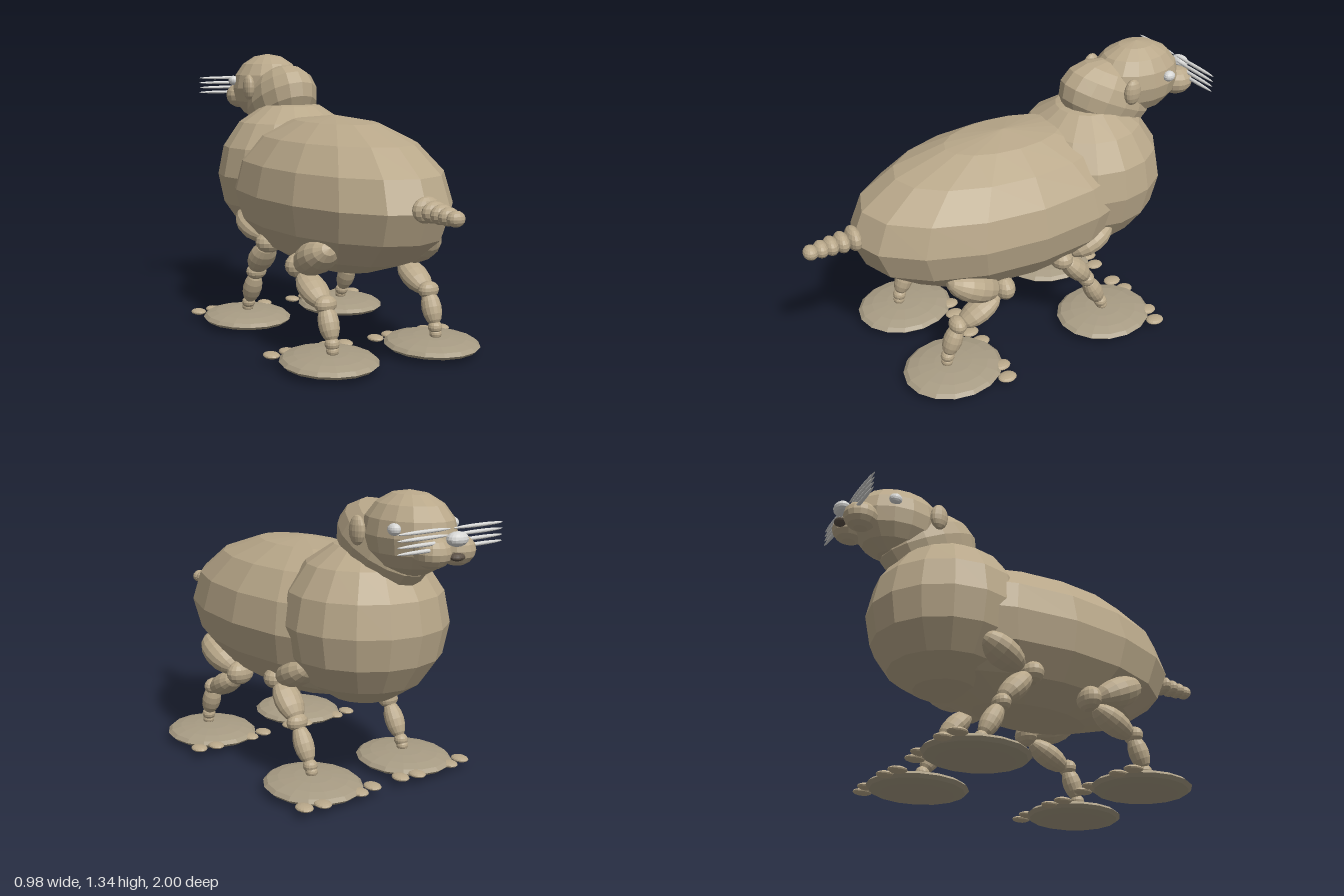
import * as THREE from 'three';

const mat = (name, color) => {
  const m = new THREE.MeshStandardMaterial({ color, flatShading: true });
  m.name = name;
  return m;
};

export function createModel() {
  const fur = mat('tan fur', 0xb9a88a);
  const pad = mat('foot fur', 0xa89c84);
  const pale = mat('pale grey', 0xd6d6d4);
  const dark = mat('dark mouth', 0x5c5146);

  const model = new THREE.Group();
  model.name = 'whiskeredAnimal';
  const ball = new THREE.SphereGeometry(1, 16, 8);

  // Faceted ellipsoid from centre and radii, optionally tilted about x
  function blob(parent, name, material, [x, y, z], [rx, ry, rz], tilt = 0) {
    const m = new THREE.Mesh(ball, material);
    m.name = name;
    m.position.set(x, y, z);
    m.scale.set(rx, ry, rz);
    m.rotation.x = tilt;
    parent.add(m);
    return m;
  }

  // Ellipsoid with its poles at two points [z, y] of the leg plane
  function limb(parent, name, [z0, y0], [z1, y1], rx, rz) {
    const half = Math.hypot(z1 - z0, y1 - y0) / 2;
    blob(parent, name, fur, [0, (y0 + y1) / 2, (z0 + z1) / 2], [rx, half, rz],
      Math.atan2(z1 - z0, y1 - y0));
  }

  // Trunk, neck and head
  blob(model, 'body', fur, [0, 0.705, 0.02], [0.405, 0.36, 0.76]);
  blob(model, 'chest', fur, [0, 0.75, -0.42], [0.37, 0.366, 0.366]);
  blob(model, 'neck', fur, [0, 1.1, -0.53], [0.165, 0.17, 0.25], -0.44);
  blob(model, 'head', fur, [0, 1.165, -0.69], [0.172, 0.176, 0.225]);

  // Face
  blob(model, 'nose', pale, [0, 1.175, -0.963], [0.05, 0.03, 0.037]);
  blob(model, 'mouth', dark, [0, 1.105, -0.965], [0.035, 0.016, 0.027]);
  for (const s of [-1, 1]) {
    blob(model, 'muzzlePad', fur, [s * 0.065, 1.12, -0.895], [0.075, 0.066, 0.08]);
    blob(model, 'eye', pale, [s * 0.158, 1.203, -0.775], [0.025, 0.025, 0.03]);
    blob(model, 'ear', fur, [s * 0.168, 1.175, -0.563], [0.027, 0.063, 0.043]);
    for (let i = 0; i < 4; i++) {
      blob(model, 'whisker', pale, [s * 0.145, 1.138 + i * 0.025, -0.933], [0.14, 0.008, 0.009]);
    }
  }

  // Tail of shrinking beads: z, width radius, height radius
  const tail = new THREE.Group();
  tail.name = 'tail';
  model.add(tail);
  [[0.77, 0.068, 0.056], [0.825, 0.06, 0.046], [0.875, 0.053, 0.042],
    [0.92, 0.047, 0.038], [0.967, 0.04, 0.033]].forEach(([z, rx, ry], i) =>
    blob(tail, 'tailBead', fur, [0, 0.724 - i * 0.002, z], [rx, ry, 0.034]));

  // Broad flat foot with four toes at its front edge
  function foot(parent, z) {
    blob(parent, 'foot', pad, [0, 0.044, z], [0.213, 0.04, 0.236]);
    for (const [x, dz] of [[-0.185, -0.185], [-0.1, -0.2], [0.1, -0.2], [0.185, -0.185]]) {
      blob(parent, 'toe', fur, [x, 0.046, z + dz], [0.036, 0.014, 0.045]);
    }
  }

  for (const s of [-1, 1]) {
    const hind = new THREE.Group();
    hind.name = 'hindLeg';
    hind.position.x = s * 0.267;
    model.add(hind);
    limb(hind, 'thigh', [0.45, 0.535], [0.2, 0.415], 0.092, 0.075);
    blob(hind, 'knee', fur, [0, 0.412, 0.17], [0.07, 0.058, 0.05]);
    limb(hind, 'shin', [0.195, 0.38], [0.4, 0.275], 0.068, 0.053);
    blob(hind, 'ankle', fur, [0, 0.285, 0.41], [0.052, 0.04, 0.04]);
    limb(hind, 'lowerShin', [0.405, 0.285], [0.468, 0.13], 0.047, 0.045);
    blob(hind, 'heel', fur, [0, 0.125, 0.466], [0.033, 0.03, 0.033]);
    blob(hind, 'footJoint', fur, [0, 0.095, 0.47], [0.028, 0.025, 0.028]);
    foot(hind, 0.44);

    const front = new THREE.Group();
    front.name = 'frontLeg';
    front.position.x = s * 0.267;
    model.add(front);
    limb(front, 'upperArm', [-0.405, 0.585], [-0.18, 0.475], 0.09, 0.065);
    blob(front, 'elbow', fur, [0, 0.465, -0.137], [0.068, 0.052, 0.055]);
    limb(front, 'forearm', [-0.15, 0.455], [-0.29, 0.3], 0.068, 0.053);
    blob(front, 'wrist', fur, [0, 0.295, -0.285], [0.052, 0.04, 0.04]);
    limb(front, 'lowerForearm', [-0.29, 0.285], [-0.375, 0.125], 0.047, 0.045);
    blob(front, 'heel', fur, [0, 0.12, -0.38], [0.033, 0.03, 0.033]);
    blob(front, 'footJoint', fur, [0, 0.095, -0.39], [0.028, 0.025, 0.028]);
    foot(front, -0.4);
  }
  return model;
}
